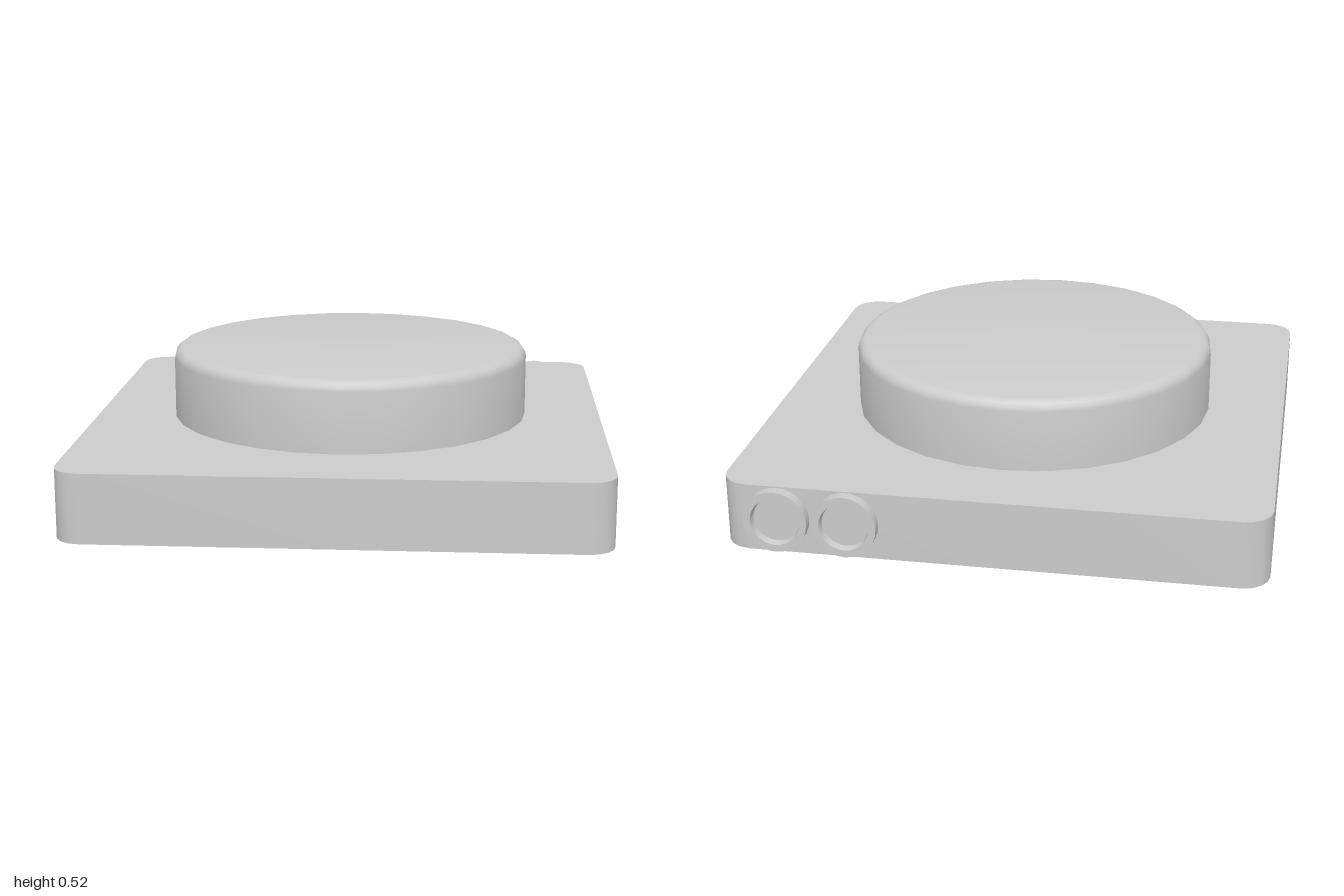
import * as THREE from 'three';
import { toCreasedNormals } from 'three/addons/utils/BufferGeometryUtils.js';

const material = new THREE.MeshStandardMaterial({ color: 0xcccccc });

function part(name, geometry, crease) {
  const mesh = new THREE.Mesh(toCreasedNormals(geometry, crease), material);
  mesh.name = name;
  return mesh;
}

function lathe(points, segments) {
  return new THREE.LatheGeometry(points.map(([r, y]) => new THREE.Vector2(r, y)), segments);
}

// Flat slab with chamfer-like rounded corners
function baseGeometry(halfX, front, back, height, r) {
  const shape = new THREE.Shape();
  const x = halfX - r, y0 = -front + r, y1 = -back - r;
  shape.absarc(x, y0, r, -Math.PI / 2, 0);
  shape.absarc(x, y1, r, 0, Math.PI / 2);
  shape.absarc(-x, y1, r, Math.PI / 2, Math.PI);
  shape.absarc(-x, y0, r, Math.PI, Math.PI * 1.5);
  shape.closePath();
  return new THREE.ExtrudeGeometry(shape, { depth: height, bevelEnabled: false, curveSegments: 2 })
    .rotateX(-Math.PI / 2);
}

export function createModel() {
  const model = new THREE.Group();
  model.name = 'baseWithRoundTop';
  const baseTop = 0.255;

  model.add(part('base', baseGeometry(0.98, 1.0, -0.96, baseTop, 0.1), 0.9));

  // Round drum with a filleted top edge
  const radius = 0.69, top = 0.525, fillet = 0.04;
  const profile = [[radius, baseTop]];
  for (let i = 0; i <= 4; i++) {
    const a = (i / 4) * Math.PI / 2;
    profile.push([radius - fillet + fillet * Math.cos(a), top - fillet + fillet * Math.sin(a)]);
  }
  profile.push([0, top]);
  model.add(part('drum', lathe(profile, 28), 0.7));

  // Two recessed round sockets on the back wall
  for (const x of [0.515, 0.767]) {
    const socket = lathe([[0.117, 0], [0.117, 0.04], [0.09, 0.04], [0.085, 0.012], [0, 0.012]], 28)
      .rotateX(-Math.PI / 2);
    const mesh = part('socket', socket, 0.6);
    mesh.position.set(x, 0.134, -0.96);
    model.add(mesh);
  }
  return model;
}
